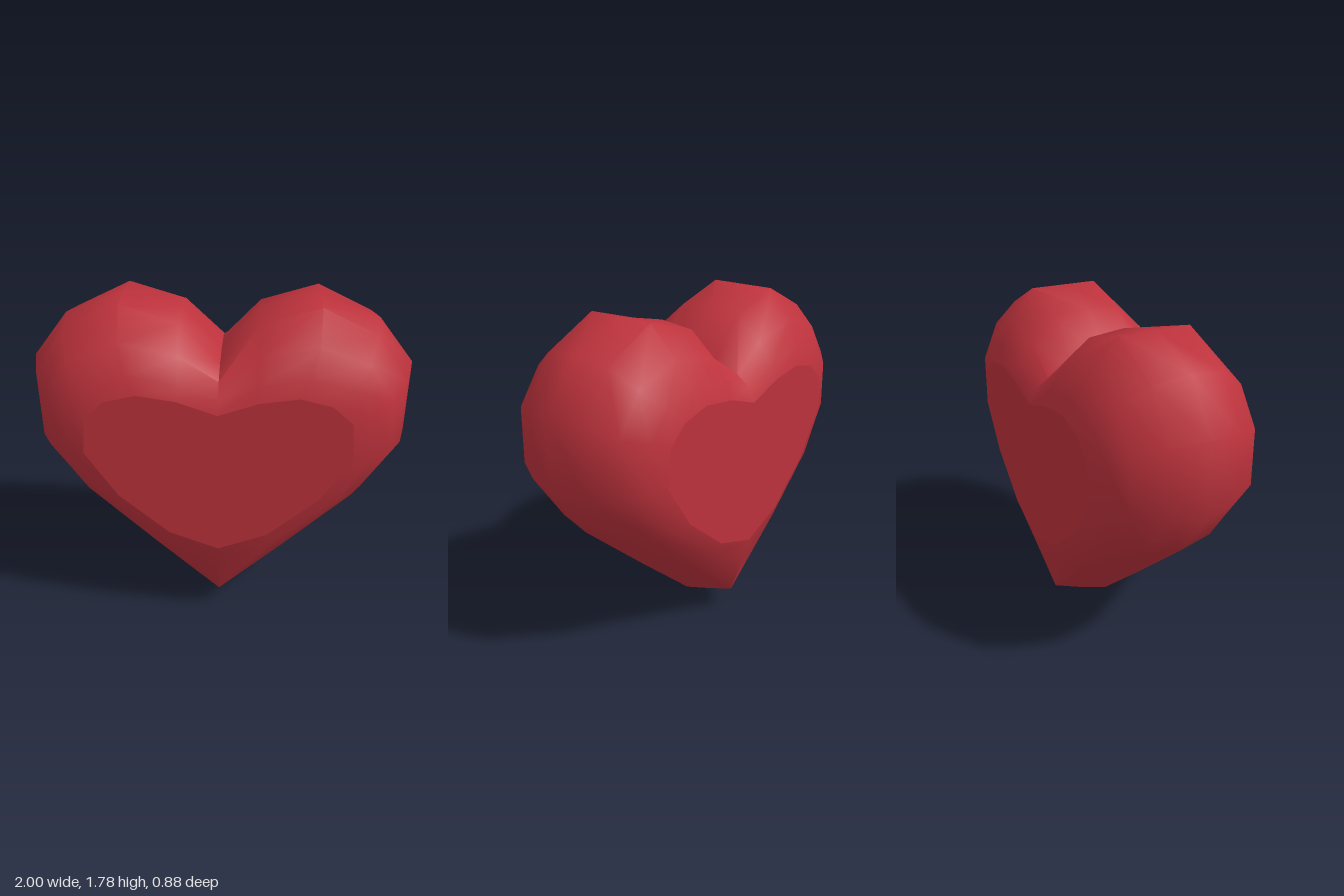
import * as THREE from 'three';
import { toCreasedNormals } from 'three/addons/utils/BufferGeometryUtils.js';

// Right half of each heart-shaped section, from bottom tip to top notch
const sections = [
  { z: 0, half: [[0, 0], [0.4, 0.37], [0.8, 0.75], [1, 1.03], [1, 1.43], [0.81, 1.67], [0.5, 1.78], [0.2, 1.71], [0, 1.49]] },
  { z: 0.19, half: [[0, 0.07], [0.38, 0.4], [0.77, 0.77], [0.95, 1.05], [0.95, 1.4], [0.79, 1.64], [0.5, 1.78], [0.2, 1.69], [0, 1.48]] },
  { z: 0.33, half: [[0, 0.13], [0.34, 0.45], [0.7, 0.8], [0.88, 1.07], [0.87, 1.36], [0.74, 1.54], [0.49, 1.63], [0.2, 1.57], [0, 1.44]] },
  { z: 0.41, half: [[0, 0.38], [0.29, 0.53], [0.61, 0.81], [0.77, 1.08], [0.76, 1.33], [0.65, 1.45], [0.45, 1.5], [0.2, 1.46], [0, 1.38]] },
  { z: 0.44, half: [[0, 0.5], [0.26, 0.6], [0.52, 0.83], [0.68, 1.08], [0.66, 1.28], [0.56, 1.37], [0.4, 1.41], [0.2, 1.38], [0, 1.31]] },
];

// Close a section by mirroring it across x = 0 (counter-clockwise from +z)
function loop({ half }) {
  const left = half.slice(1, -1).reverse().map(([x, y]) => [-x, y]);
  return [...half, ...left];
}

// Rounded wall lofted through the sections, mirrored front to back
function wallGeometry() {
  const rings = [...sections.slice(1).reverse().map((s) => ({ ...s, z: -s.z })), ...sections];
  const n = loop(rings[0]).length;
  const positions = rings.flatMap((s) => loop(s).flatMap(([x, y]) => [x, y, s.z]));
  const index = [];
  for (let r = 0; r < rings.length - 1; r++) {
    for (let i = 0; i < n; i++) {
      const a = r * n + i, b = r * n + (i + 1) % n;
      index.push(a, b, b + n, a, b + n, a + n);
    }
  }
  const geometry = new THREE.BufferGeometry();
  geometry.setAttribute('position', new THREE.Float32BufferAttribute(positions, 3));
  geometry.setIndex(index);
  return toCreasedNormals(geometry, THREE.MathUtils.degToRad(52));
}

export function createModel() {
  const red = new THREE.MeshStandardMaterial({ color: 0xbd323c });
  red.name = 'heart red';
  const group = new THREE.Group();
  group.name = 'heart';

  const wall = new THREE.Mesh(wallGeometry(), red);
  wall.name = 'roundedBody';
  group.add(wall);

  // Flat faces closing the front and back
  const last = sections[sections.length - 1];
  const outline = new THREE.Shape(loop(last).map(([x, y]) => new THREE.Vector2(x, y)));
  for (const name of ['frontFace', 'backFace']) {
    const face = new THREE.Mesh(new THREE.ShapeGeometry(outline), red);
    face.name = name;
    const back = name === 'backFace';
    face.rotation.y = back ? Math.PI : 0;
    face.position.z = back ? -last.z : last.z;
    group.add(face);
  }
  return group;
}
